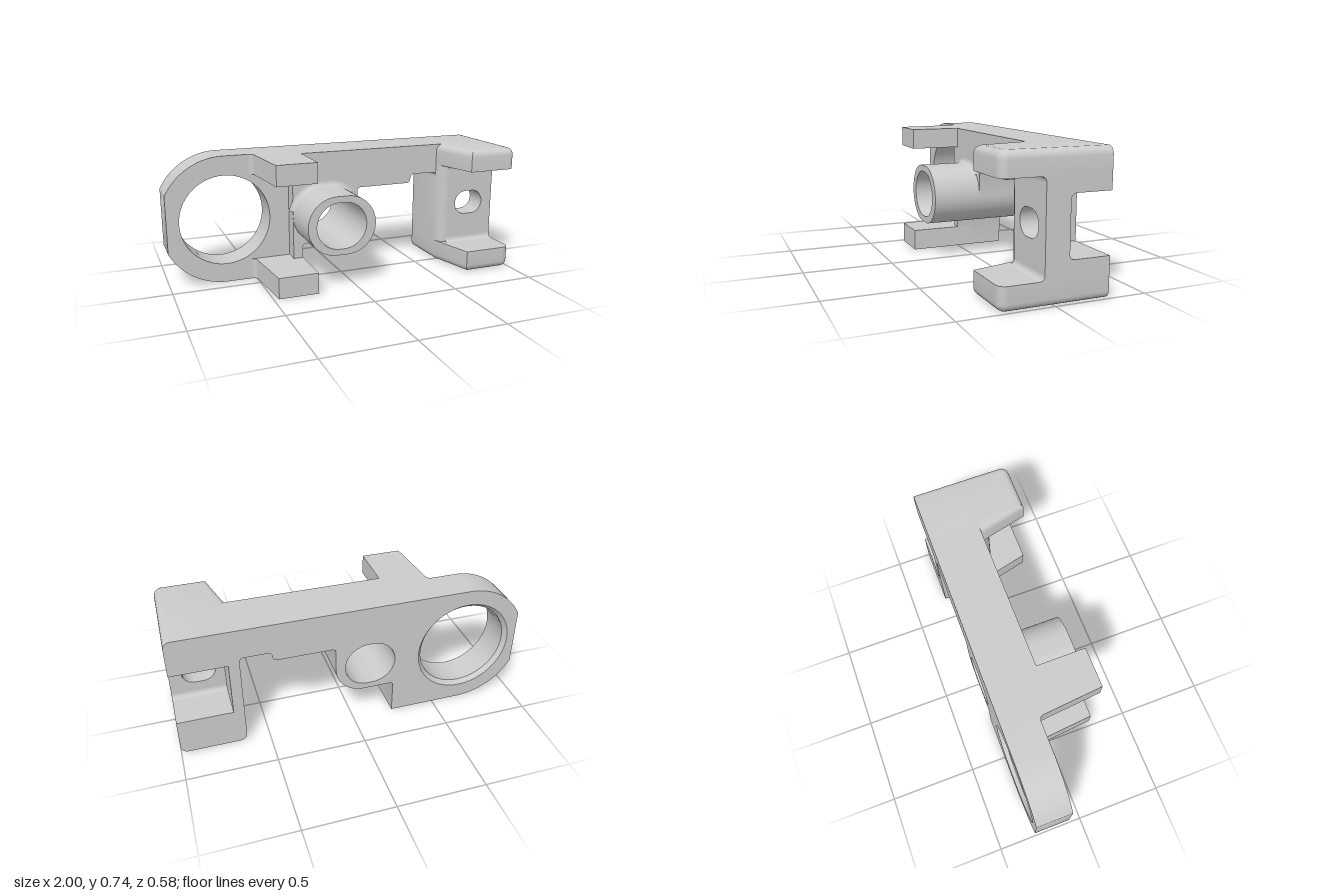
import * as THREE from 'three';
import { toCreasedNormals } from 'three/addons/utils/BufferGeometryUtils.js';
import { ParametricGeometry } from 'three/addons/geometries/ParametricGeometry.js';

const grey = new THREE.MeshStandardMaterial({ color: 0xcccccc, side: THREE.DoubleSide });
const HALF = Math.PI / 2, BACK = -0.29, TOP = 0.74;

export function createModel() {
  const model = new THREE.Group();
  const add = (name, geometry) => {
    const mesh = new THREE.Mesh(toCreasedNormals(geometry, 0.6), grey);
    mesh.name = name;
    model.add(mesh);
    return mesh;
  };
  const poly = (pts) => new THREE.Shape(pts.map(([x, y]) => new THREE.Vector2(x, y)));
  const circle = (x, y, r) => new THREE.Path().absarc(x, y, r, 0, Math.PI * 2, true);
  // Extrusions along each axis; profiles are (x,y), (x,-z) and (-z,y)
  const extrude = (shape, a, b) =>
    new THREE.ExtrudeGeometry(shape, { depth: b - a, bevelEnabled: false, curveSegments: 32 }).translate(0, 0, a);
  const extrudeY = (shape, a, b) => extrude(shape, a, b).rotateX(-HALF);
  const extrudeX = (shape, a, b) => extrude(shape, a, b).rotateY(HALF);
  const box = (x0, x1, y0, y1, z0, z1) =>
    new THREE.BoxGeometry(x1 - x0, y1 - y0, z1 - z0).translate((x0 + x1) / 2, (y0 + y1) / 2, (z0 + z1) / 2);
  // Rounded slot: two half circles of radius r, centres +-off apart
  const slot = (Type, x, y, off, r) => {
    const s = new Type();
    s.absarc(x + off, y, r, -HALF, HALF, false);
    s.absarc(x - off, y, r, HALF, 3 * HALF, false);
    s.closePath();
    return s;
  };

  // Ring plate: large round eye with a flat left edge, chamfered at the back
  const ringPlate = (r) => {
    const s = new THREE.Shape();
    const cut = Math.acos(0.33 / 0.37);
    s.moveTo(-0.295, 0);
    s.lineTo(-0.295, TOP);
    s.lineTo(-0.67, TOP);
    s.absarc(-0.67, 0.37, 0.37, HALF, Math.PI - cut, false);
    s.absarc(-0.67, 0.37, 0.37, Math.PI + cut, 3 * HALF, false);
    s.closePath();
    s.holes.push(circle(-0.67, 0.37, r));
    return s;
  };
  add('ringPlate', extrude(ringPlate(0.26), -0.265, -0.085));
  add('ringPlateBack', extrude(ringPlate(0.282), BACK, -0.265));
  add('ringChamfer', new THREE.CylinderGeometry(0.26, 0.282, 0.025, 64, 1, true)
    .rotateX(HALF).translate(-0.67, 0.37, -0.2775));

  // Main arm with the boss outline along its lower edge
  const bx = -0.095, by = 0.372, bo = 0.032, br = 0.168;
  const arm = new THREE.Shape();
  arm.moveTo(-0.295, 0);
  arm.lineTo(-0.24, 0);
  arm.lineTo(-0.24, 0.18);
  arm.quadraticCurveTo(-0.24, 0.204, -0.215, 0.204);
  arm.absarc(bx + bo, by, br, -HALF, 0, false);
  arm.lineTo(0.105, 0.49);
  arm.quadraticCurveTo(0.105, 0.514, 0.13, 0.514);
  arm.lineTo(0.43, 0.514);
  arm.quadraticCurveTo(0.452, 0.514, 0.455, 0.54);
  arm.quadraticCurveTo(0.458, 0.567, 0.48, 0.567);
  arm.lineTo(0.605, 0.567);
  arm.quadraticCurveTo(0.63, 0.567, 0.63, 0.54);
  arm.lineTo(0.68, 0.54);
  arm.lineTo(0.68, TOP);
  arm.lineTo(-0.295, TOP);
  arm.closePath();
  arm.holes.push(slot(THREE.Path, bx - 0.002, by, 0.014, 0.133));
  add('arm', extrude(arm, BACK, 0));

  // Tube on the front of the arm, blended into it above
  const tube = slot(THREE.Shape, bx, by, bo, br);
  tube.holes.push(slot(THREE.Path, bx - 0.002, by, 0.014, 0.133));
  add('tube', extrude(tube, 0, 0.27));
  add('tubeFillet', new ParametricGeometry((u, v, p) => {
    const a = 0.75 + u * 2.2, t = v * HALF, f = 0.028;
    const r = br + f * (1 - Math.sin(t));
    p.set(bx + (Math.cos(a) > 0 ? bo : -bo) + r * Math.cos(a), by + r * Math.sin(a), f * (1 - Math.cos(t)));
  }, 32, 6));

  // Pair of front lugs beside the ring
  const ringLug = new THREE.Shape();
  ringLug.moveTo(-0.24, 0.1);
  ringLug.lineTo(-0.53, 0.1);
  ringLug.lineTo(-0.53, 0.085);
  ringLug.quadraticCurveTo(-0.503, 0.085, -0.5, 0.055);
  ringLug.lineTo(-0.47, -0.283);
  ringLug.lineTo(-0.24, -0.283);
  ringLug.closePath();
  add('lowerRingLug', extrudeY(ringLug, 0, 0.12));
  add('upperRingLug', extrudeY(ringLug, 0.625, TOP));

  // End block lugs: slanted front, rounded outer edges, square back and inner faces
  const endLug = (outer, inner) => {
    const s = new THREE.Shape();
    s.moveTo(0.63, 0.4);
    s.lineTo(0.63, 0);
    s.lineTo(0.702, -0.29);
    s.lineTo(0.95, -0.29);
    s.absarc(0.955, -0.245, 0.045, -HALF, 0, false);
    s.lineTo(1, 0.4);
    s.closePath();
    const b = 0.04, lo = Math.min(outer, inner), hi = Math.max(outer, inner);
    const low = outer < inner ? lo : lo - 2 * b, high = outer < inner ? hi + 2 * b : hi;
    const g = new THREE.ExtrudeGeometry(s, {
      depth: high - low - 2 * b, bevelThickness: b, bevelSize: b, bevelOffset: -b, bevelSegments: 5, curveSegments: 8,
    }).rotateX(-HALF).translate(0, low + b, 0);
    const p = g.attributes.position;
    for (let i = 0; i < p.count; i++) {
      p.setY(i, THREE.MathUtils.clamp(p.getY(i), lo, hi));
      p.setZ(i, Math.max(BACK, p.getZ(i)));
    }
    return g;
  };
  add('lowerEndLug', endLug(0, 0.128));
  add('upperEndLug', endLug(TOP, 0.615));

  // End block inner wall, slotted web and rear shelves
  add('endWall', extrudeY(poly([[0.63, 0.29], [0.69, 0.29], [0.69, -0.06], [0.68, -0.06],
    [0.66, -0.053], [0.645, -0.035], [0.63, 0]]), 0.12, 0.62));
  const web = poly([[0.68, 0.12], [1, 0.12], [1, 0.62], [0.68, 0.62]]);
  web.holes.push(slot(THREE.Path, 0.835, 0.372, 0.022, 0.073));
  add('slottedWeb', extrude(web, -0.07, 0.06));
  add('lowerShelf', box(0.68, 1, 0.12, 0.215, BACK, -0.07));
  add('upperShelf', box(0.68, 1, 0.53, 0.62, BACK, -0.07));

  // Fillets where the web meets the lugs and shelves
  for (const [y, z, sy, sz] of [[0.128, 0.06, 1, 1], [0.615, 0.06, -1, 1], [0.215, -0.07, 1, -1], [0.53, -0.07, -1, -1]]) {
    const s = new THREE.Shape(), r = 0.03;
    s.moveTo(-z, y);
    s.lineTo(-z - sz * r, y);
    s.quadraticCurveTo(-z, y, -z, y + sy * r);
    s.closePath();
    add('webFillet', extrudeX(s, 0.68, 1));
  }
  return model;
}
